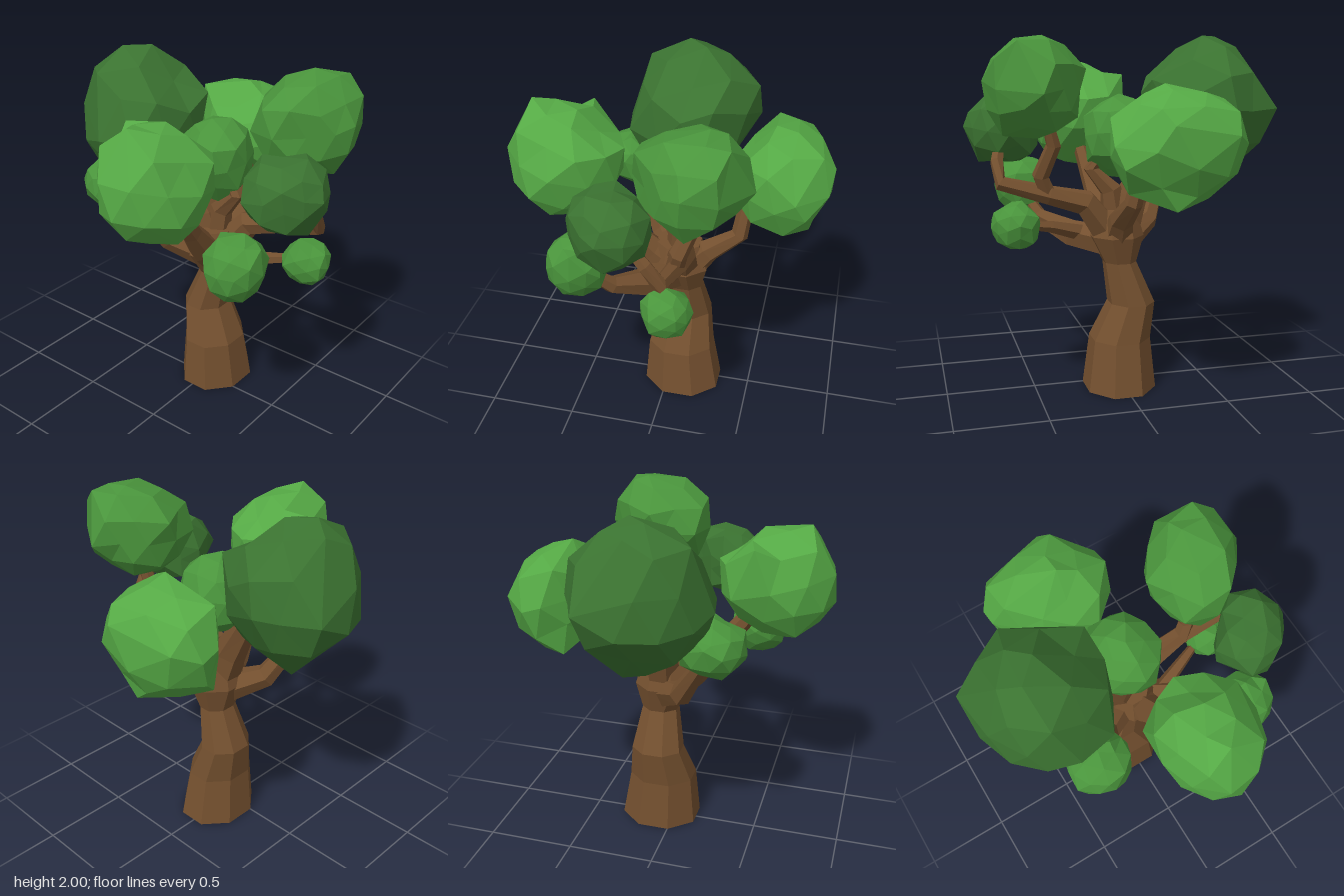
import * as THREE from 'three';

const bark = new THREE.MeshStandardMaterial({ color: 0x74502f, flatShading: true });
const leaf = new THREE.MeshStandardMaterial({ color: 0x55a945, flatShading: true });
const midLeaf = new THREE.MeshStandardMaterial({ color: 0x4a953c, flatShading: true });
const darkLeaf = new THREE.MeshStandardMaterial({ color: 0x3b7331, flatShading: true });

// Faceted tube through points [x, y, z, radius]; level keeps the rings horizontal
function limb(name, points, sides = 6, level = false) {
  const c = points.map(p => new THREE.Vector3(p[0], p[1], p[2]));
  const n = c.length, pos = [], index = [];
  let u = new THREE.Vector3(1, 0, 0);
  for (let i = 0; i < n; i++) {
    const t = level ? new THREE.Vector3(0, 1, 0)
      : c[Math.min(i + 1, n - 1)].clone().sub(c[Math.max(i - 1, 0)]).normalize();
    if (i === 0 && Math.abs(t.x) > 0.9) u.set(0, 0, 1);
    u = u.clone().addScaledVector(t, -u.dot(t)).normalize();
    const v = t.clone().cross(u);
    for (let j = 0; j < sides; j++) {
      const a = ((j + 0.5) / sides) * Math.PI * 2, r = points[i][3];
      const p = c[i].clone().addScaledVector(u, Math.cos(a) * r)
        .addScaledVector(v, Math.sin(a) * r * (level ? 1.15 : 1));
      pos.push(p.x, p.y, p.z);
    }
  }
  for (let j = 0; j < sides; j++) {
    const k = (j + 1) % sides;
    for (let i = 0; i < n - 1; i++) {
      const a = i * sides + j, b = i * sides + k;
      index.push(a, b, b + sides, a, b + sides, a + sides);
    }
    index.push(n * sides, k, j, n * sides + 1, (n - 1) * sides + j, (n - 1) * sides + k);
  }
  pos.push(...c[0].toArray(), ...c[n - 1].toArray());
  const g = new THREE.BufferGeometry();
  g.setAttribute('position', new THREE.Float32BufferAttribute(pos, 3));
  g.setIndex(index);
  g.computeVertexNormals();
  const mesh = new THREE.Mesh(g, bark);
  mesh.name = name;
  return mesh;
}

// Irregular leaf clump filling the box from min to max. Each cut [a, b, c, d] trims
// a corner so that a*x + b*y + c*z <= d; each tip pulls the nearest corner to a point
function clump(name, min, max, material, seed, cuts = [], tips = []) {
  const g = new THREE.IcosahedronGeometry(1, 1);
  g.rotateX(seed * 1.3).rotateY(seed * 2.1);
  const lo = new THREE.Vector3(...min), hi = new THREE.Vector3(...max);
  const centre = lo.clone().add(hi).multiplyScalar(0.5);
  const half = hi.clone().sub(lo).multiplyScalar(0.5);
  const planes = cuts.map(([a, b, c, d]) => ({ n: new THREE.Vector3(a, b, c), d }));
  const p = g.attributes.position, corners = new Map(), v = new THREE.Vector3();
  const keys = [];
  for (let i = 0; i < p.count; i++) {
    v.fromBufferAttribute(p, i);
    const k = v.toArray().map(x => Math.round(x * 1000) + 0);
    const h = Math.sin(k[0] * 0.127 + k[1] * 0.311 + k[2] * 0.743 + seed) * 437.58;
    v.multiplyScalar(0.93 + 0.18 * (h - Math.floor(h))).multiply(half);
    for (const { n, d } of planes) {
      const reach = n.dot(v), limit = d - n.dot(centre);
      if (reach > limit) v.multiplyScalar(limit / reach);
    }
    keys.push(k.join());
    corners.set(keys[i], v.clone().add(centre).clamp(lo, hi));
  }
  const free = new Set(corners.values());
  for (const tip of tips) {
    v.set(...tip);
    const near = [...free].reduce((a, b) => (a.distanceTo(v) < b.distanceTo(v) ? a : b));
    near.copy(v);
    free.delete(near);
  }
  keys.forEach((k, i) => p.setXYZ(i, ...corners.get(k).toArray()));
  g.computeVertexNormals();
  const mesh = new THREE.Mesh(g, material);
  mesh.name = name;
  return mesh;
}

export function createModel() {
  const tree = new THREE.Group();
  tree.name = 'tree';

  // Crooked trunk, flaring into the fork
  tree.add(limb('trunk', [
    [0.018, 0, -0.09, 0.211], [0.01, 0.29, -0.075, 0.176], [-0.053, 0.5, -0.09, 0.136],
    [0.015, 0.74, -0.09, 0.096], [0.03, 0.89, -0.06, 0.16], [0.03, 1.04, -0.06, 0.115],
  ], 8, true));

  // Limbs
  const limbs = new THREE.Group();
  limbs.name = 'limbs';
  limbs.add(
    limb('upperLeftLimb', [[0.02, 0.86, -0.08, 0.11], [-0.06, 1.1, -0.06, 0.095], [-0.17, 1.3, -0.06, 0.07], [-0.35, 1.5, -0.05, 0.05]]),
    limb('lowerLeftLimb', [[0.02, 0.83, -0.07, 0.1], [-0.2, 0.94, 0.09, 0.068], [-0.31, 1.16, 0.22, 0.045], [-0.37, 1.32, 0.32, 0.03]]),
    limb('frontLimb', [[0.04, 0.83, -0.07, 0.11], [0.06, 0.97, 0.1, 0.088], [0.09, 1.13, 0.24, 0.06], [0.13, 1.4, 0.46, 0.045]]),
    limb('backLimb', [[0.03, 0.84, -0.09, 0.1], [0.04, 1, -0.23, 0.07], [0.02, 1.12, -0.4, 0.05], [-0.04, 1.4, -0.44, 0.04]]),
    limb('lowerRightLimb', [[0.03, 0.84, -0.07, 0.1], [0.25, 0.88, 0.07, 0.085], [0.42, 0.96, 0.23, 0.05], [0.5, 1.1, 0.37, 0.03]]),
    limb('lowerRightTwig', [[0.2, 0.89, 0.02, 0.05], [0.4, 0.95, -0.05, 0.035], [0.58, 0.98, -0.12, 0.02]], 5),
    limb('upperRightLimb', [[0.06, 0.88, -0.08, 0.1], [0.22, 1.09, -0.12, 0.075], [0.42, 1.14, -0.13, 0.055], [0.68, 1.21, -0.1, 0.042], [0.69, 1.32, -0.03, 0.038], [0.65, 1.45, 0.1, 0.03]]),
    limb('upperRightFork', [[0.42, 1.13, -0.12, 0.05], [0.47, 1.25, -0.15, 0.048], [0.41, 1.42, -0.22, 0.042], [0.46, 1.6, -0.25, 0.03]]),
    limb('centreLimb', [[0.03, 0.95, -0.06, 0.08], [0.06, 1.15, -0.07, 0.065], [0.17, 1.27, -0.06, 0.045], [0.08, 1.4, -0.08, 0.03]]),
  );
  tree.add(limbs);

  // Leaf clumps
  const leaves = new THREE.Group();
  leaves.name = 'leaves';
  leaves.add(
    clump('leftClump', [-0.85, 1.18, -0.42], [-0.13, 2, 0.34], darkLeaf, 1,
      [[-1, -1, 0, -0.64], [0, -1, -1, -1.08], [1, -1, 0, -1.58], [0, -1, 1, -1.12], [-1, 0, 1, 0.92], [1, 1, 0, 1.56]],
      [[-0.85, 1.6, -0.27], [-0.46, 2, -0.1], [-0.68, 1.94, -0.06], [-0.56, 1.18, -0.12],
        [-0.55, 1.6, -0.42], [-0.14, 1.76, -0.2], [-0.27, 1.55, 0.3], [-0.48, 1.55, 0.34]]),
    clump('backClump', [-0.5, 1.12, -0.88], [0.2, 1.75, -0.3], leaf, 2,
      [[-1, 0, 1, -0.09], [0, -1, 1, -1.69], [0, 1, 1, 1.18]],
      [[-0.05, 1.56, -0.88], [-0.1, 1.13, -0.77], [-0.1, 1.75, -0.55], [-0.5, 1.45, -0.69],
        [0.2, 1.45, -0.7], [0, 1.42, -0.31], [-0.41, 1.5, -0.81]]),
    clump('frontClump', [-0.16, 1.22, 0.21], [0.41, 1.87, 0.88], leaf, 3,
      [[1, 1, 0, 2.04], [0, 1, -1, 1.37], [0, -1, -1, -1.72], [1, 0, 1, 1.1], [-1, 0, 1, 0.83], [1, 0, -1, -0.02]],
      [[0.12, 1.45, 0.87], [0.1, 1.87, 0.72], [0.11, 1.22, 0.6], [-0.15, 1.78, 0.46],
        [0.25, 1.79, 0.46], [0.41, 1.55, 0.55], [0.12, 1.64, 0.22], [0.3, 1.28, 0.6]]),
    clump('topRightClump', [0.23, 1.45, -0.53], [0.78, 1.99, 0.08], midLeaf, 4,
      [[-1, 0, -1, 0.04], [1, 0, 1, 0.6], [0, -1, -1, -1.17]],
      [[0.23, 1.82, -0.22], [0.48, 1.99, -0.3], [0.62, 1.96, -0.42], [0.78, 1.76, -0.22],
        [0.51, 1.7, -0.53], [0.73, 1.72, -0.39], [0.5, 1.46, -0.25]]),
    clump('rightClump', [0.41, 1.29, -0.06], [0.85, 1.68, 0.39], darkLeaf, 5,
      [[1, 0, 1, 1.05], [-1, 0, -1, -0.57]],
      [[0.85, 1.5, 0.17], [0.48, 1.66, 0.16], [0.72, 1.68, 0.12], [0.77, 1.3, 0.16], [0.81, 1.5, 0.04]]),
    clump('lowRightClump', [0.34, 0.95, 0.22], [0.66, 1.31, 0.56], midLeaf, 6, [],
      [[0.37, 1.27, 0.35], [0.64, 1.27, 0.38], [0.52, 1.31, 0.35], [0.5, 0.95, 0.42]]),
    clump('smallRightClump', [0.47, 0.84, -0.26], [0.74, 1.11, 0.02], midLeaf, 7, [],
      [[0.74, 0.97, -0.12], [0.55, 0.85, -0.12]]),
    clump('smallLeftClump', [-0.56, 1.17, 0.13], [-0.21, 1.48, 0.49], midLeaf, 8, [],
      [[-0.55, 1.37, 0.3], [-0.38, 1.3, 0.49], [-0.21, 1.36, 0.32], [-0.3, 1.48, 0.3]]),
    clump('centreClump', [-0.2, 1.22, -0.3], [0.21, 1.69, 0.14], midLeaf, 9),
  );
  tree.add(leaves);
  return tree;
}
